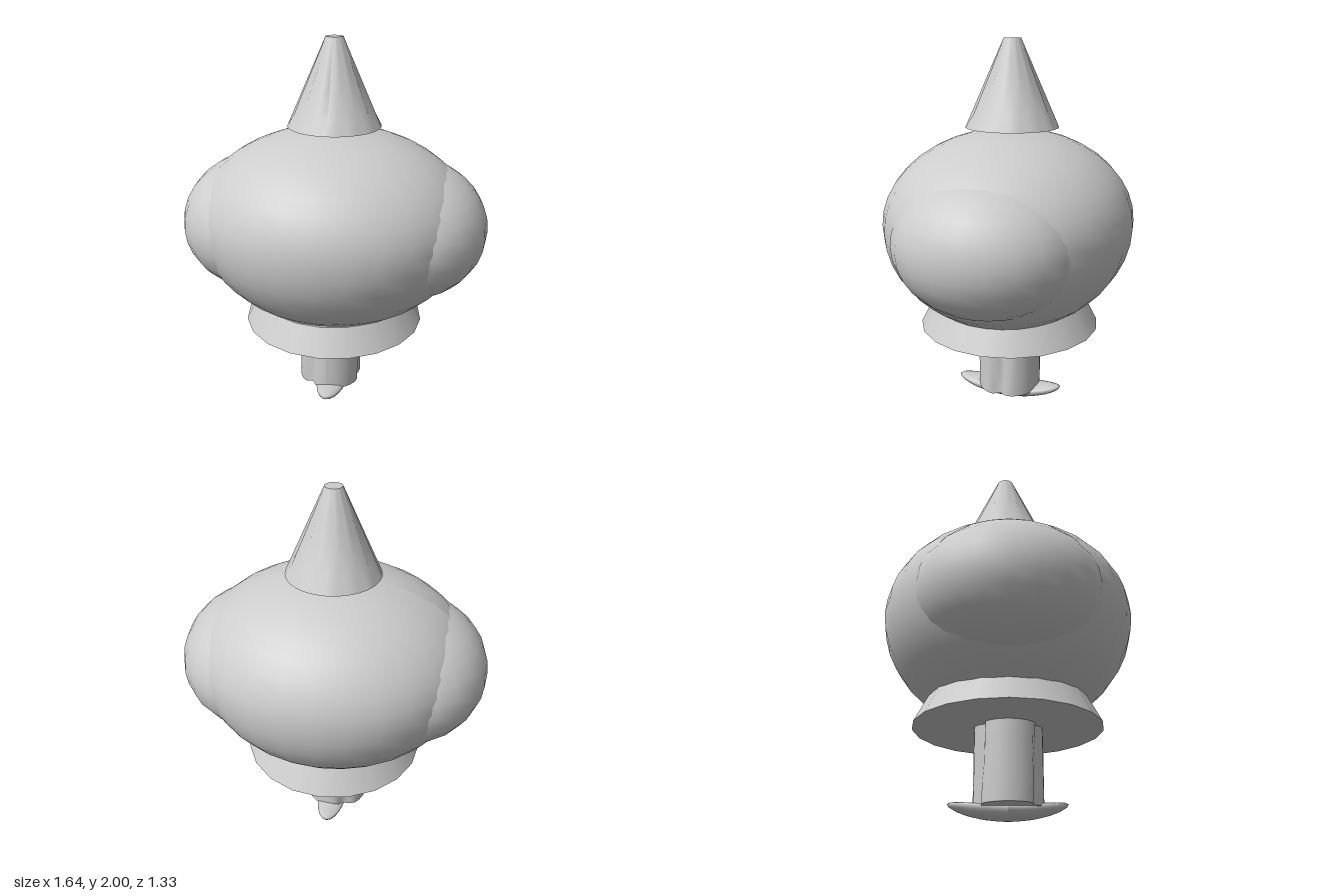
import * as THREE from 'three';

export function createModel() {
  const model = new THREE.Group();
  const grey = new THREE.MeshStandardMaterial({ color: 0xcccccc });
  grey.name = 'plain grey';

  // Adds a mesh, optionally reshaping its vertices by a rule first
  function add(name, geometry, x, y, z, rule) {
    if (rule) {
      const p = geometry.attributes.position;
      const v = new THREE.Vector3();
      for (let i = 0; i < p.count; i++) {
        v.fromBufferAttribute(p, i);
        rule(v);
        p.setXYZ(i, v.x, v.y, v.z);
      }
      geometry.computeVertexNormals();
    }
    const mesh = new THREE.Mesh(geometry, grey);
    mesh.name = name;
    mesh.position.set(x, y, z);
    model.add(mesh);
    return mesh;
  }

  // Main squashed ball, with a fuller lower half
  const body = new THREE.SphereGeometry(1, 28, 20);
  add('body', body, 0, 1.05, 0, (v) => v.set(v.x * 0.74, v.y * (v.y > 0 ? 0.49 : 0.57), v.z * 0.665));

  // Bulges on both sides
  for (const side of [1, -1]) {
    const bulge = new THREE.SphereGeometry(1, 22, 16).scale(0.42, 0.365, 0.48);
    add(side > 0 ? 'leftBulge' : 'rightBulge', bulge, side * 0.4, 1.02, 0);
  }

  // Pointed cap, folded between its straight rims
  add('cap', new THREE.CylinderGeometry(0.045, 0.245, 0.45, 28, 6), 0, 1.775, -0.015, (v) => {
    const t = (v.y + 0.225) / 0.45;
    const a = Math.atan2(v.z, v.x);
    const fold = 1 - 0.1 * Math.sin(Math.PI * t) * (0.5 - 0.5 * Math.cos(a * 14));
    v.x *= fold;
    v.z *= fold;
  });

  // Flared skirt under the body
  add('skirt', new THREE.CylinderGeometry(0.42, 0.492, 0.14, 20), 0, 0.53, 0);

  // Stem with a few uneven vertical grooves
  add('stem', new THREE.CylinderGeometry(0.175, 0.175, 0.43, 30, 4), -0.018, 0.275, 0.003, (v) => {
    const a = Math.atan2(v.z, v.x) + v.y * 0.3;
    const groove = Math.pow(Math.max(0, Math.cos(a * 3)), 8);
    const k = 1 - 0.2 * groove;
    v.x *= k;
    v.z *= k;
  });

  // Long shallow foot with upturned ends
  add('foot', new THREE.SphereGeometry(1, 24, 12), 0, 0, 0, (v) => {
    const lift = 0.052 + 0.03 * v.z * v.z;
    v.set(v.x * 0.088, lift + v.y * (v.y > 0 ? 0.03 : 0.052), v.z * 0.3);
  });

  return model;
}
